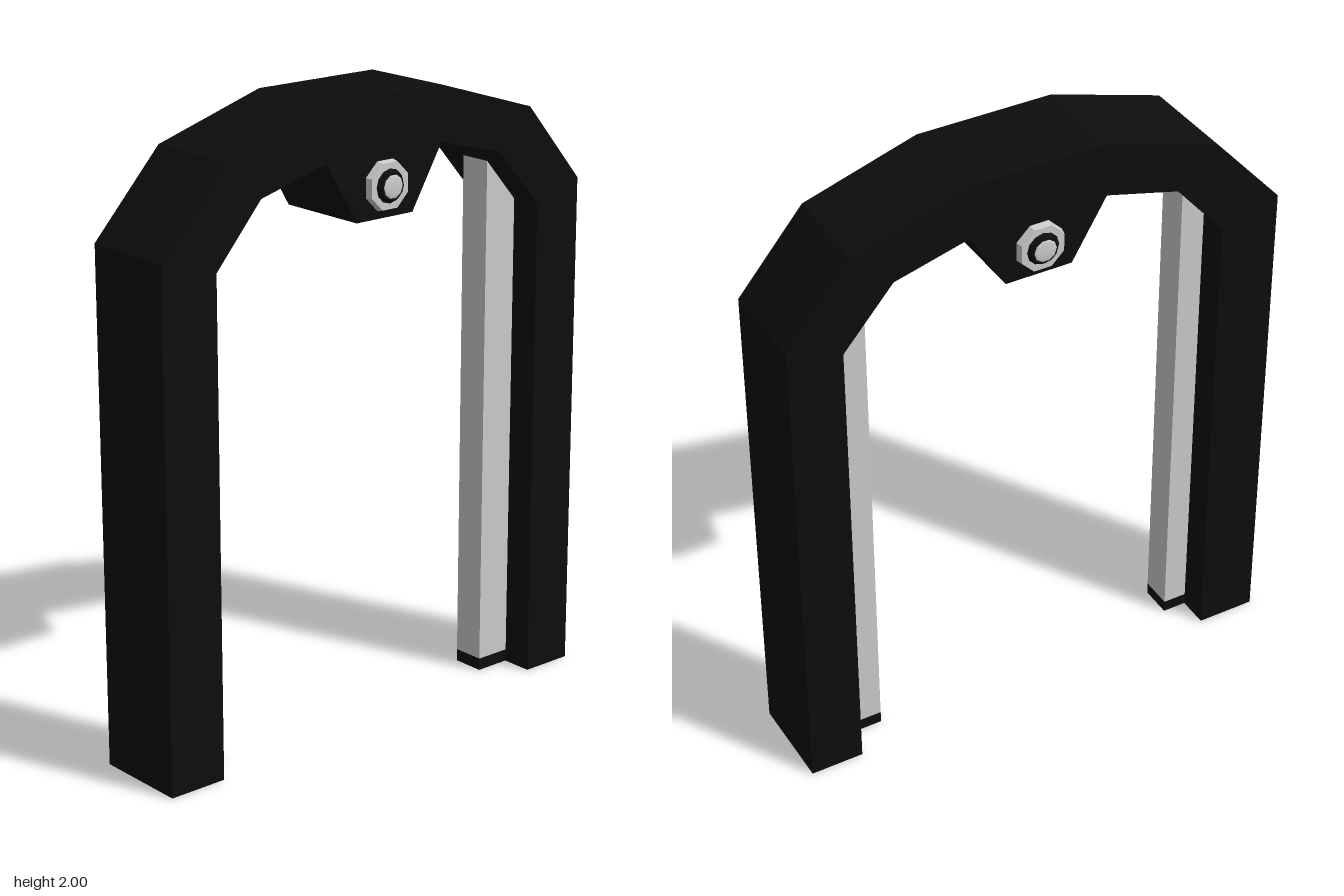
import * as THREE from 'three';

const black = new THREE.MeshStandardMaterial({ color: 0x0d0d0d, flatShading: true });
black.name = 'black';
const lightGrey = new THREE.MeshStandardMaterial({ color: 0xcccccc, flatShading: true });
lightGrey.name = 'light grey';

// Straight-sided outline extruded symmetrically about z = 0
function slab(name, points, depth, material) {
  const shape = new THREE.Shape(points.map(([x, y]) => new THREE.Vector2(x, y)));
  const geometry = new THREE.ExtrudeGeometry(shape, { depth, bevelEnabled: false });
  geometry.translate(0, 0, -depth / 2);
  const mesh = new THREE.Mesh(geometry, material);
  mesh.name = name;
  return mesh;
}

// Octagonal washer, dark ring and domed cap, facing +z from z = 0
function createBolt(name) {
  const bolt = new THREE.Group();
  bolt.name = name;
  const add = (part, geometry, material) => {
    const mesh = new THREE.Mesh(geometry, material);
    mesh.name = part;
    bolt.add(mesh);
  };
  add('washer', new THREE.CylinderGeometry(0.076, 0.082, 0.03, 8)
    .rotateX(Math.PI / 2).rotateZ(Math.PI / 8).translate(0, 0, 0.008), lightGrey);
  add('boltRing', new THREE.CylinderGeometry(0.042, 0.056, 0.018, 12)
    .rotateX(Math.PI / 2).translate(0, 0, 0.028), black);
  add('boltCap', new THREE.SphereGeometry(0.037, 10, 4, 0, Math.PI * 2, 0, Math.PI / 2)
    .scale(1, 0.12, 1).rotateX(Math.PI / 2).translate(0, 0, 0.0375), lightGrey);
  return bolt;
}

export function createModel() {
  const model = new THREE.Group();
  model.name = 'archway';
  const depth = 0.313;

  // Faceted arch with legs and a hanging keystone
  model.add(slab('archFrame', [
    [-0.82, 0], [-0.625, 0], [-0.625, 1.57], [-0.46, 1.76], [-0.215, 1.825],
    [-0.1, 1.63], [0.12, 1.63], [0.235, 1.825], [0.48, 1.76], [0.645, 1.57],
    [0.645, 0], [0.82, 0], [0.82, 1.63], [0.605, 1.885], [0.235, 2],
    [-0.21, 2], [-0.585, 1.885], [-0.82, 1.63],
  ], depth, black));

  // Pale inner rails standing on small dark feet
  const rails = [
    { side: 'right', outer: -0.625, inner: -0.545, top: 1.662 },
    { side: 'left', outer: 0.645, inner: 0.525, top: 1.708 },
  ];
  for (const { side, outer, inner, top } of rails) {
    model.add(slab(side + 'Rail', [
      [outer, 0.04], [inner, 0.04], [inner, top], [outer, 1.57],
    ], 0.107, lightGrey));
    model.add(slab(side + 'RailFoot', [
      [outer, 0], [inner, 0], [inner, 0.04], [outer, 0.04],
    ], 0.107, black));
  }

  // Bolt heads on both faces of the keystone
  const frontBolt = createBolt('frontBolt');
  frontBolt.position.set(0.01, 1.73, depth / 2);
  const backBolt = createBolt('backBolt');
  backBolt.position.set(0.01, 1.73, -depth / 2);
  backBolt.rotation.y = Math.PI;
  model.add(frontBolt, backBolt);

  return model;
}
